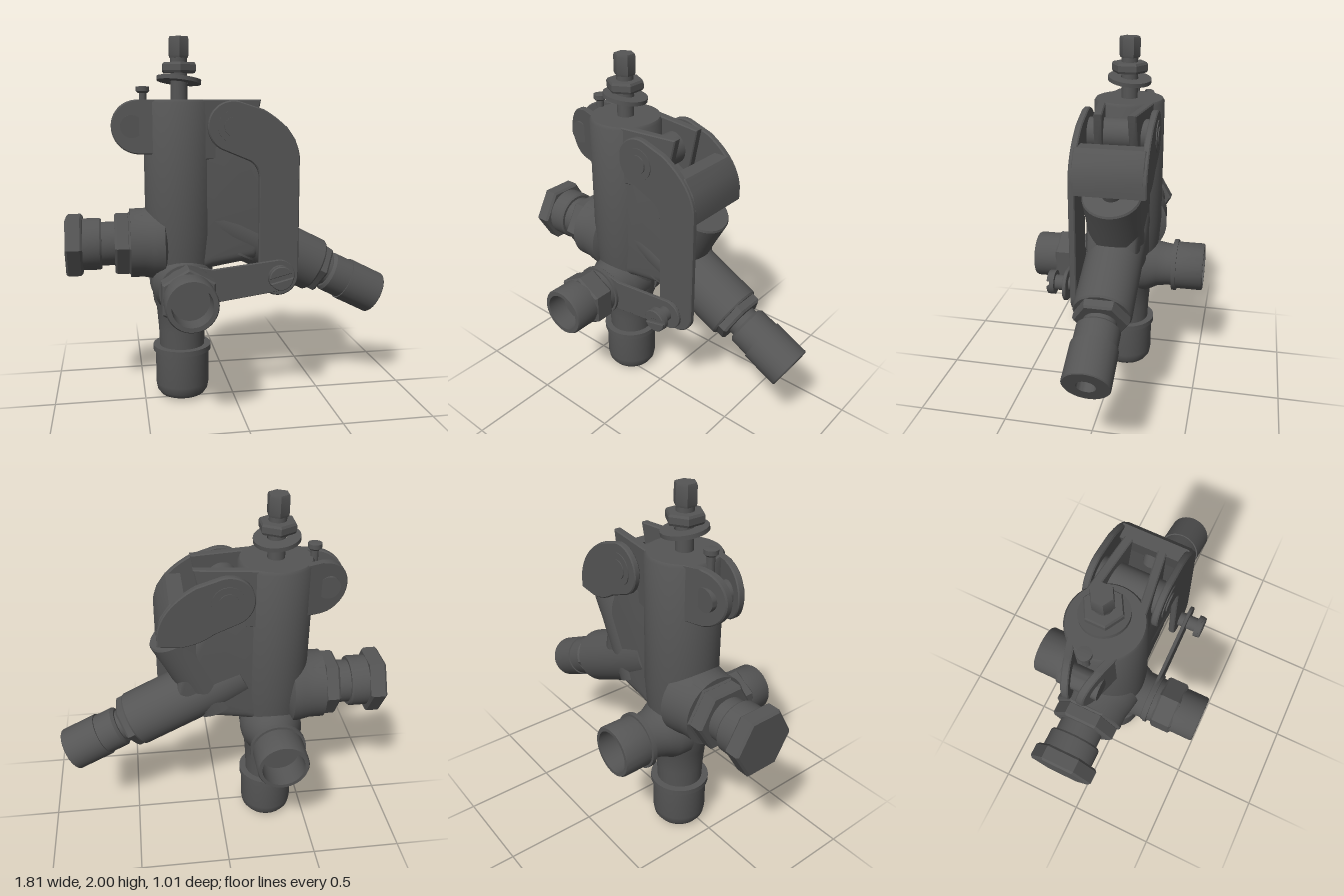
import * as THREE from 'three';
import { toCreasedNormals } from 'three/addons/utils/BufferGeometryUtils.js';

const metal = new THREE.MeshStandardMaterial({ color: 0x555555 });
metal.name = 'darkMetal';
const CX = -0.285, CZ = -0.05; // main vertical axis
const V = (x, y, z) => new THREE.Vector3(x, y, z);

export function createModel() {
  const model = new THREE.Group();
  model.name = 'valveAssembly';

  function add(name, geo, crease = 0.6) {
    const mesh = new THREE.Mesh(toCreasedNormals(geo, crease), metal);
    mesh.name = name;
    model.add(mesh);
    return mesh;
  }

  // Turned part: profile of [radius, distance] along dir from pos
  function turned(name, pos, dir, profile, sides = 40) {
    const pts = profile.map(([r, t]) => new THREE.Vector2(r, t));
    const mesh = add(name, new THREE.LatheGeometry(pts, sides), sides < 9 ? 0.3 : 0.6);
    mesh.position.copy(pos);
    mesh.quaternion.setFromUnitVectors(V(0, 1, 0), dir.clone().normalize());
    return mesh;
  }
  const rod = (name, pos, dir, r, t0, t1, sides = 40) =>
    turned(name, pos, dir, [[0, t0], [r, t0], [r, t1], [0, t1]], sides);
  // Hexagon nut with chamfered corners
  const nut = (name, pos, dir, r, t0, t1) =>
    turned(name, pos, dir, [[0, t0], [r * 0.93, t0], [r, t0 + 0.012], [r, t1 - 0.012], [r * 0.93, t1], [0, t1]], 6);

  // Flat part cut in the front plane, optionally splayed along x
  function plate(name, shape, z0, z1, bevel = 0.006, splay = 0, splayX = 0) {
    const geo = new THREE.ExtrudeGeometry(shape, {
      depth: z1 - z0 - 2 * bevel, bevelEnabled: bevel > 0, bevelThickness: bevel,
      bevelSize: bevel, bevelOffset: -bevel, bevelSegments: bevel > 0.03 ? 6 : 1, curveSegments: 16,
    });
    geo.translate(0, 0, z0 + bevel);
    const p = geo.attributes.position;
    for (let i = 0; i < p.count; i++) p.setZ(i, p.getZ(i) + splay * (p.getX(i) - splayX));
    return add(name, geo);
  }
  const polygon = (pts) => new THREE.Shape(pts.map(([x, y]) => new THREE.Vector2(x, y)));

  const up = V(0, 1, 0), front = V(0, 0, 1), back = V(0, 0, -1), left = V(-1, 0, 0);
  const base = V(CX, 0, CZ);

  // Main body with bottom neck
  turned('mainBody', base, up, [[0, 0.28], [0.125, 0.28], [0.13, 0.4], [0.14, 0.52], [0.155, 0.56],
    [0.17, 0.68], [0.185, 0.82], [0.195, 0.95], [0.195, 1.655], [0.185, 1.67], [0, 1.67]], 48);
  turned('bottomPipe', base, up, [[0, 0], [0.09, 0], [0.125, 0.015], [0.143, 0.04], [0.15, 0.08], [0.15, 0.27],
    [0.163, 0.27], [0.163, 0.3], [0, 0.3]]);

  // Web between the body and the inclined seat
  plate('bodyWeb', polygon([[-0.28, 0.72], [-0.12, 0.76], [0.12, 0.8], [0.25, 0.95], [0.2, 1.2], [0.1, 1.4],
    [-0.02, 1.46], [-0.28, 1.5]]), CZ - 0.145, CZ + 0.145, 0.06);

  // Spindle on top
  rod('spindle', base, up, 0.045, 1.6, 1.92, 24);
  nut('spindleHead', base, up, 0.058, 1.89, 2.0);
  nut('lockNut', base, up, 0.1, 1.81, 1.865);
  turned('washer', V(CX, 1.772, CZ), V(0.11, 1, -0.11),
    [[0.05, -0.011], [0.12, -0.011], [0.12, 0.011], [0.05, 0.011], [0.05, -0.011]]);

  // Clamp ears and pivot lugs, mirrored about the body plane
  const ear = new THREE.Shape();
  ear.moveTo(-0.36, 1.67);
  ear.lineTo(-0.515, 1.67);
  ear.absarc(-0.51, 1.527, 0.143, Math.PI / 2, Math.PI * 1.5, false);
  ear.lineTo(-0.36, 1.384);
  const lug = polygon([[-0.22, 1.35], [0.03, 1.37], [0.1, 1.46], [0.145, 1.67], [-0.22, 1.67]]);
  for (const s of [1, -1]) {
    const inner = (a, b) => s > 0 ? [CZ + a, CZ + b] : [CZ - b, CZ - a];
    plate('clampEar', ear, ...inner(0.02, 0.06), 0.006, s * 0.3, -0.64);
    plate('pivotLug', lug, ...inner(0.065, 0.11), 0.006, s * -0.14, 0.14);
  }
  rod('clampPin', V(-0.545, 1.53, CZ), front, 0.06, -0.1, 0.1);
  rod('oilerStem', V(-0.48, 1.6, -0.055), up, 0.02, 0, 0.12, 20);
  turned('oilerCap', V(-0.48, 1.6, -0.055), up, [[0, 0.105], [0.025, 0.105], [0.036, 0.115], [0.036, 0.138], [0, 0.142]], 20);

  // Left side fitting
  const side = V(CX, 0.89, -0.058);
  turned('sideBoss', side, left, [[0, 0], [0.21, 0.1], [0.2, 0.16], [0.19, 0.21], [0.19, 0.28], [0, 0.28]]);
  nut('sideHex', side, left, 0.19, 0.2, 0.29);
  nut('sideGlandNut', side, left, 0.178, 0.28, 0.365);
  rod('sideNeck', side, left, 0.12, 0.35, 0.46);
  turned('sideCollar', side, left, [[0, 0.435], [0.135, 0.435], [0.142, 0.445], [0.142, 0.54], [0.12, 0.55], [0, 0.55]]);
  nut('sideEndNut', side, left, 0.18, 0.535, 0.625);

  // Front and back ports, open at their ends
  const port = V(CX, 0.67, 0);
  turned('frontNeck', port, front, [[0, -0.05], [0.17, -0.05], [0.165, 0.08], [0.135, 0.14], [0.13, 0.26], [0, 0.26]]);
  nut('frontPortNut', port, front, 0.158, 0.245, 0.37);
  turned('frontPipe', port, front, [[0, 0.36], [0.134, 0.36], [0.134, 0.495], [0.128, 0.505], [0.105, 0.505], [0.1, 0.4], [0, 0.4]]);
  turned('backNeck', port, back, [[0, 0.05], [0.175, 0.1], [0.165, 0.18], [0.135, 0.24], [0.125, 0.3], [0.125, 0.35], [0, 0.35]]);
  turned('backPipe', port, back, [[0, 0.33], [0.153, 0.33], [0.153, 0.355], [0.14, 0.355], [0.14, 0.5], [0.134, 0.51],
    [0.115, 0.51], [0.11, 0.38], [0, 0.38]]);

  // Inclined outlet, measured back from its open end
  const outletDir = V(0.894, -0.447, 0);
  const outlet = V(0.852, 0.542, -0.055);
  turned('outletBranch', outlet, outletDir, [[0, -1.1], [0.15, -1.08], [0.155, -0.95], [0.155, -0.42], [0.148, -0.41], [0, -0.41]]);
  nut('outletNut', outlet, outletDir, 0.148, -0.45, -0.36);
  rod('outletNeck', outlet, outletDir, 0.088, -0.4, -0.3);
  turned('outletNozzle', outlet, outletDir, [[0, -0.33], [0.1, -0.33], [0.115, -0.315], [0.115, -0.21], [0.123, -0.21],
    [0.123, -0.005], [0.118, 0], [0.05, 0], [0.05, -0.12], [0, -0.12]]);

  // Inclined valve bonnet and plunger under the lever
  const bonnetDir = V(0.447, 0.894, 0);
  turned('bonnet', V(0.24, 1.28, -0.055), bonnetDir, [[0, -0.55], [0.15, -0.5], [0.15, -0.15], [0.155, -0.01], [0.148, 0], [0, 0]]);
  rod('plunger', V(0.24, 1.28, -0.055), bonnetDir, 0.05, -0.02, 0.1, 24);

  // Lever: long front cheek, short back cheek, joined by a bridge
  function cheek(long) {
    const s = new THREE.Shape();
    s.absarc(-0.02, 1.53, 0.135, Math.PI * 0.42, Math.PI * 1.35, false);
    s.lineTo(0.05, 1.355);
    if (long) {
      s.quadraticCurveTo(0.12, 1.33, 0.12, 1.25);
      s.lineTo(0.12, 0.72);
      s.absarc(0.23, 0.72, 0.11, Math.PI, Math.PI * 2, false);
    } else {
      s.quadraticCurveTo(0.14, 1.29, 0.24, 1.29);
      s.lineTo(0.34, 1.3);
    }
    s.lineTo(0.34, 1.37);
    s.quadraticCurveTo(0.32, 1.52, 0.14, 1.62);
    return s;
  }
  plate('leverFrontCheek', cheek(true), 0.115, 0.15);
  plate('leverBackCheek', cheek(false), -0.25, -0.215);
  plate('leverBridge', polygon([[0.25, 1.3], [0.34, 1.3], [0.34, 1.38], [0.318, 1.46], [0.27, 1.53], [0.19, 1.53]]), -0.235, 0.135);
  const pivot = V(-0.02, 1.53, CZ);
  rod('pivotPin', pivot, front, 0.05, -0.21, 0.212);
  rod('pivotBush', pivot, front, 0.085, -0.205, 0.205);

  // Link from the front port to the lever
  const link = new THREE.Shape();
  link.absarc(CX, 0.67, 0.14, Math.PI * 0.4, Math.PI * 1.6, false);
  link.lineTo(-0.16, 0.595);
  link.lineTo(0.2, 0.645);
  link.absarc(0.22, 0.735, 0.085, -Math.PI * 0.48, Math.PI * 0.53, false);
  link.lineTo(-0.14, 0.78);
  plate('link', link, 0.185, 0.205, 0.003);
  turned('linkRing', port, front, [[0, 0.2], [0.145, 0.2], [0.145, 0.22], [0, 0.22]]);

  // Slotted screw
  const screw = V(0.21, 0.74, 0);
  rod('screwShank', screw, front, 0.042, 0.13, 0.265, 24);
  rod('screwHead', screw, front, 0.066, 0.26, 0.285, 28);
  const half = new THREE.Shape();
  half.absarc(0, 0, 0.064, 0.2, Math.PI - 0.2, false);
  for (const turn of [0, Math.PI]) {
    const mesh = plate('screwHeadHalf', half, 0.28, 0.3, 0.004);
    mesh.position.copy(screw);
    mesh.rotation.z = turn + 0.25;
  }
  return model;
}
